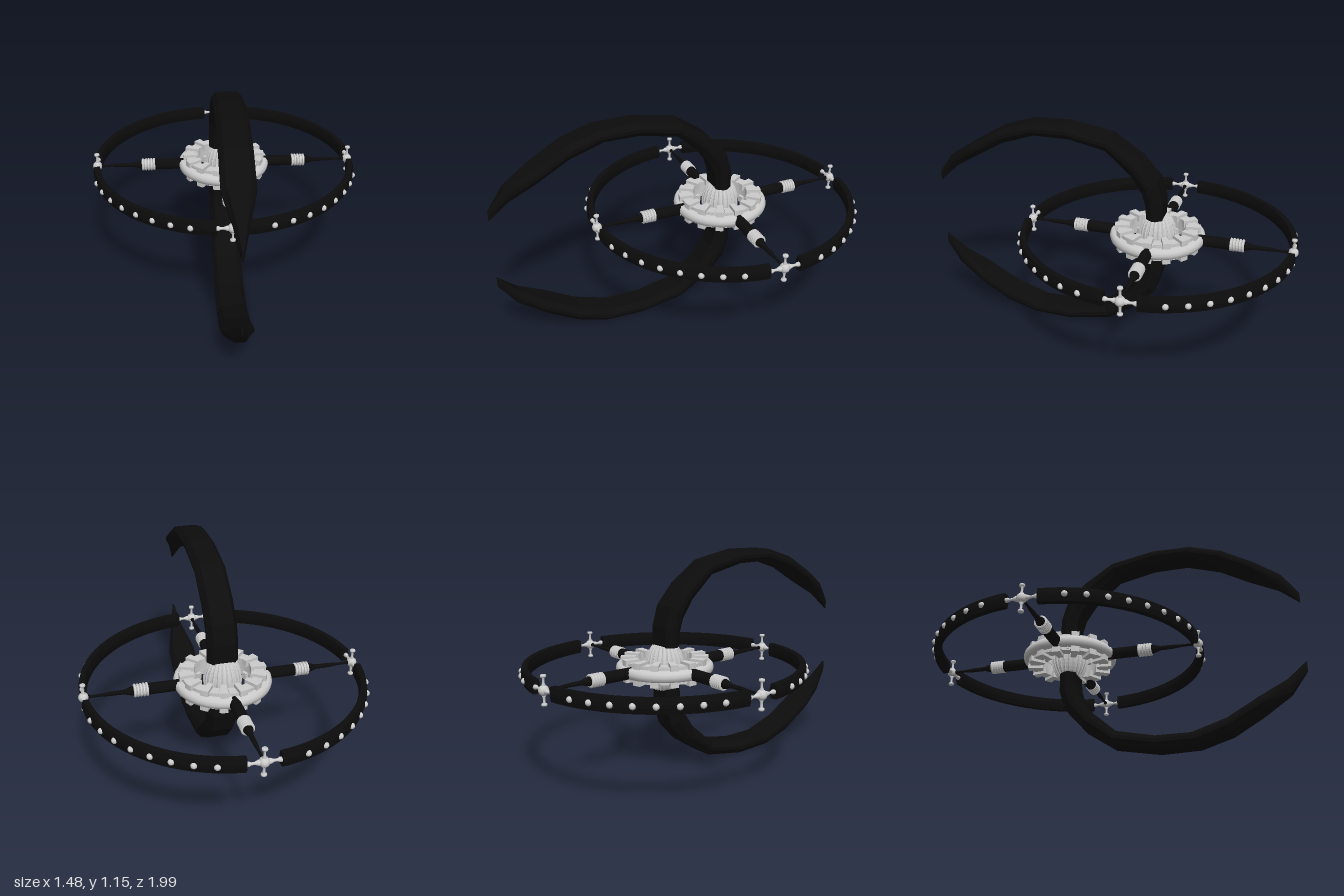
import * as THREE from 'three';

const grey = new THREE.MeshStandardMaterial({ color: 0xcccccc });
const greyFlat = new THREE.MeshStandardMaterial({ color: 0xcccccc, flatShading: true });
const dark = new THREE.MeshStandardMaterial({ color: 0x0c0c0c, flatShading: true });
const darkSmooth = new THREE.MeshStandardMaterial({ color: 0x0c0c0c });

const HUB_Y = 0.577, HUB_Z = -0.257, RING_R = 0.712;

// Chamfered rectangle, corners in units of -1..1
const OCTAGON = [[1, -0.25], [1, 0.25], [0.7, 1], [-0.7, 1], [-1, 0.25], [-1, -0.25], [-0.7, -1], [0.7, -1]];

function add(parent, name, geometry, material, x = 0, y = 0, z = 0) {
  const mesh = new THREE.Mesh(geometry, material);
  mesh.name = name;
  mesh.position.set(x, y, z);
  parent.add(mesh);
  return mesh;
}

function group(parent, name) {
  const g = new THREE.Group();
  g.name = name;
  parent.add(g);
  return g;
}

// Closed skin over a row of equal-length cross-sections, capped at both ends
function loft(sections) {
  const n = sections[0].length, last = (sections.length - 1) * n, index = [];
  for (let k = 0; k < sections.length - 1; k++) {
    for (let j = 0; j < n; j++) {
      const a = k * n + j, b = k * n + (j + 1) % n;
      index.push(a, a + n, b, b, a + n, b + n);
    }
  }
  for (let j = 1; j < n - 1; j++) index.push(0, j, j + 1, last, last + j + 1, last + j);
  const g = new THREE.BufferGeometry();
  g.setAttribute('position', new THREE.Float32BufferAttribute(sections.flat(2), 3));
  g.setIndex(index);
  g.computeVertexNormals();
  return g;
}

const lathe = (pts, seg) => new THREE.LatheGeometry(pts.map(p => new THREE.Vector2(...p)), seg);

// Curved blade: outer z, outer y, inner z, inner y, half width (relative to the hub centre)
function bladeGeometry() {
  const stations = [
    [-0.292, 0.686, -0.206, 0.686, 0.08], [-0.292, 0.788, -0.2, 0.761, 0.08],
    [-0.26, 0.895, -0.18, 0.826, 0.08], [-0.163, 1.003, -0.115, 0.922, 0.08],
    [-0.003, 1.11, 0.019, 1.04, 0.08], [0.233, 1.153, 0.223, 1.083, 0.08],
    [0.442, 1.147, 0.41, 1.083, 0.08], [0.609, 1.094, 0.59, 1.024, 0.08],
    [0.775, 0.996, 0.757, 0.928, 0.08], [0.914, 0.911, 0.898, 0.842, 0.038],
    [1, 0.80, 1, 0.745, 0.006],
  ];
  return loft(stations.map(([oz, oy, iz, iy, w]) => OCTAGON.map(([u, v]) => {
    const t = (v + 1) / 2;
    return [-u * w, iy + (oy - iy) * t - HUB_Y, iz + (oz - iz) * t - HUB_Z];
  })));
}

// Quarter of the big ring, with a gap for the node at each end
function ringGeometry() {
  const gap = 0.112, steps = 20, sections = [];
  for (let k = 0; k <= steps; k++) {
    const a = gap + (Math.PI / 2 - 2 * gap) * k / steps;
    sections.push(OCTAGON.map(([u, v]) => {
      const r = RING_R + u * 0.021;
      return [Math.sin(a) * r, v * 0.036, Math.cos(a) * r];
    }));
  }
  return loft(sections);
}

// Curved wedge block on the hub
function blockGeometry(r0, r1, width, height) {
  const shape = new THREE.Shape();
  shape.absarc(0, 0, r1, -width / 2, width / 2, false);
  shape.absarc(0, 0, r0, width / 2, -width / 2, true);
  const g = new THREE.ExtrudeGeometry(shape, { depth: height, bevelEnabled: false, curveSegments: 2 });
  return g.rotateX(-Math.PI / 2);
}

function buildHub(parent) {
  const hub = group(parent, 'hub');
  // Annular body and rounded rim
  add(hub, 'hubBody', lathe([[0.165, -0.04], [0.215, -0.04], [0.215, 0.04], [0.165, 0.04], [0.165, -0.04]], 48), greyFlat);
  add(hub, 'hubRim', lathe([[0.2, -0.03], [0.24, -0.026], [0.25, -0.016], [0.254, 0], [0.25, 0.016], [0.24, 0.026], [0.2, 0.03]], 64), grey);

  // Crown of alternating blocks above and below the rim
  const count = 28;
  const tall = blockGeometry(0.148, 0.228, 0.19, 0.037);
  const low = blockGeometry(0.162, 0.214, 0.2, 0.025);
  for (const flip of [0, Math.PI]) {
    const crown = group(hub, flip ? 'lowerBlocks' : 'upperBlocks');
    crown.rotation.x = flip;
    for (let i = 0; i < count; i++) {
      const block = add(crown, 'block', i % 2 ? low : tall, greyFlat, 0, 0.021, 0);
      block.rotation.y = i / count * Math.PI * 2;
    }
  }

  // Central barrel-shaped core with fine ribs
  const profile = [];
  for (let i = 0; i <= 12; i++) {
    const y = -0.114 + 0.228 * i / 12;
    profile.push([0.095 * Math.sqrt(1 - (y / 0.145) ** 2), y]);
  }
  add(hub, 'core', lathe([[0, -0.114], ...profile, [0, 0.114]], 32), greyFlat);
  const curve = new THREE.CatmullRomCurve3(profile.map(([r, y]) => new THREE.Vector3(r, y, 0)));
  const rib = new THREE.TubeGeometry(curve, 12, 0.005, 4);
  for (let i = 0; i < 24; i++) {
    add(hub, 'coreRib', rib, greyFlat).rotation.y = i / 24 * Math.PI * 2;
  }
}

function buildSpoke(parent) {
  const spoke = group(parent, 'spoke');
  spoke.rotation.x = Math.PI / 2; // local y runs outward
  add(spoke, 'spokeSleeve', lathe([[0, 0.205], [0.03, 0.205], [0.03, 0.392], [0, 0.392]], 16), dark);
  const ribs = [[0, 0.385]];
  for (let i = 0; i < 5; i++) {
    const y = 0.387 + i * 0.0155;
    ribs.push([0.029, y], [0.035, y + 0.003], [0.035, y + 0.011], [0.029, y + 0.014]);
  }
  add(spoke, 'spokeCollar', lathe([...ribs, [0, 0.464]], 20), greyFlat);
  add(spoke, 'spokeRod', lathe([[0, 0.46], [0.026, 0.46], [0.022, 0.475], [0.012, 0.51], [0.011, 0.58],
    [0.007, 0.63], [0.007, 0.67], [0.011, 0.69], [0.011, 0.705]], 12), darkSmooth);
}

function buildNode(parent) {
  const node = group(parent, 'ringNode');
  node.position.z = RING_R;
  add(node, 'nodeBall', new THREE.SphereGeometry(0.026, 20, 14), grey);
  // Vertical post with knobs, and a rod bridging the ring gap
  const post = lathe([[0, -0.075], [0.013, -0.075], [0.015, -0.069], [0.013, -0.063], [0.006, -0.06], [0.006, -0.035],
    [0.011, -0.025], [0.011, 0.025], [0.006, 0.035], [0.006, 0.06], [0.013, 0.063], [0.015, 0.069], [0.013, 0.075], [0, 0.075]], 14);
  add(node, 'nodePost', post, grey);
  const link = lathe([[0, -0.088], [0.012, -0.088], [0.012, -0.07], [0.007, -0.06], [0.007, -0.045], [0.014, -0.028],
    [0.014, 0.028], [0.007, 0.045], [0.007, 0.06], [0.012, 0.07], [0.012, 0.088], [0, 0.088]], 14);
  add(node, 'nodeLink', link, grey).rotation.z = Math.PI / 2;
}

export function createModel() {
  const model = new THREE.Group();
  model.name = 'ringStation';
  const body = group(model, 'body');
  body.position.set(0, HUB_Y, HUB_Z);

  buildHub(body);

  // Upper and lower blades
  const blade = bladeGeometry();
  add(body, 'upperBlade', blade, dark);
  add(body, 'lowerBlade', blade, dark).rotation.z = Math.PI;

  // Four quarters: spoke, node, ring segment and studs
  const ring = ringGeometry();
  const stud = new THREE.SphereGeometry(0.016, 14, 10);
  for (let q = 0; q < 4; q++) {
    const quarter = group(body, 'quarter');
    quarter.rotation.y = q * Math.PI / 2;
    buildSpoke(quarter);
    buildNode(quarter);
    add(quarter, 'ringSegment', ring, dark);
    for (let i = 0; i < 8; i++) {
      const a = THREE.MathUtils.degToRad(16.6 + i * 8.11);
      add(quarter, 'ringStud', stud, grey, Math.sin(a) * 0.73, 0, Math.cos(a) * 0.73);
    }
  }
  return model;
}
